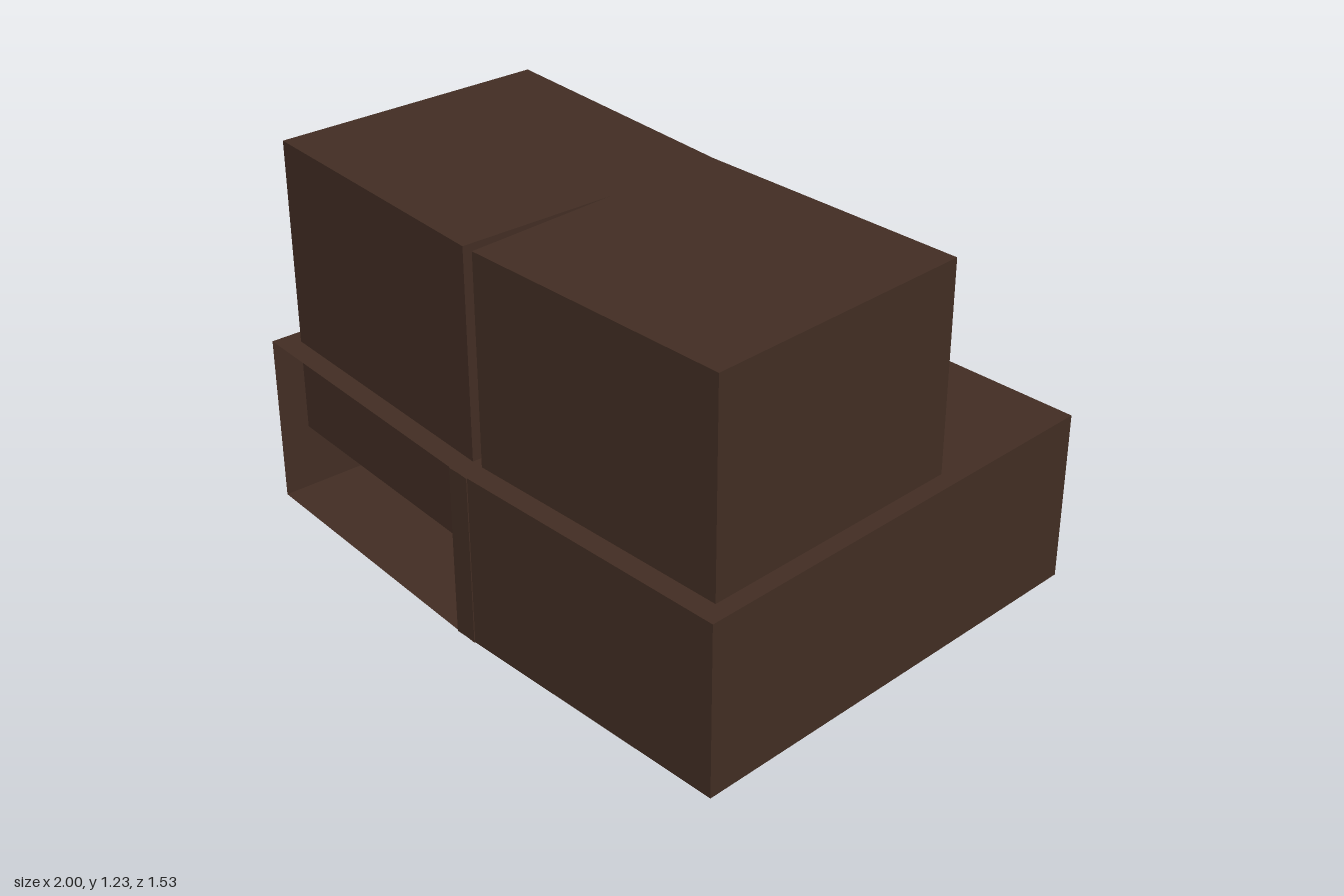
import * as THREE from 'three';

const TURN = 0.0404; // each half is turned slightly outward

// Box between two heights, on the given side (+1 left, -1 right)
function block(name, side, size, centre, y0, y1, material, openFront = false) {
  const geometry = new THREE.BoxGeometry(size[0], y1 - y0, size[1]);
  if (openFront) {
    // drop the two triangles of the +z face
    const index = Array.from(geometry.index.array);
    index.splice(24, 6);
    geometry.setIndex(index);
    geometry.clearGroups();
  }
  const mesh = new THREE.Mesh(geometry, material);
  mesh.name = name;
  mesh.position.set(side * centre[0], (y0 + y1) / 2, centre[1]);
  mesh.rotation.y = side * TURN;
  return mesh;
}

export function createModel() {
  const brown = new THREE.MeshStandardMaterial({ color: 0x422d23, side: THREE.DoubleSide });
  brown.name = 'dark brown';

  const model = new THREE.Group();
  model.name = 'steppedBlocks';
  for (const side of [1, -1]) {
    const label = side > 0 ? 'left' : 'right';
    // wide base shell, open at the front on the model's right
    model.add(block(label + 'Base', side, [1.04, 1.487], [0.45, -0.001], 0, 0.56, brown, side < 0));
    // upper block, sunk into the base
    model.add(block(label + 'UpperBlock', side, [0.92, 0.896], [0.462, 0.2265], 0.255, 1.233, brown));
  }
  return model;
}
